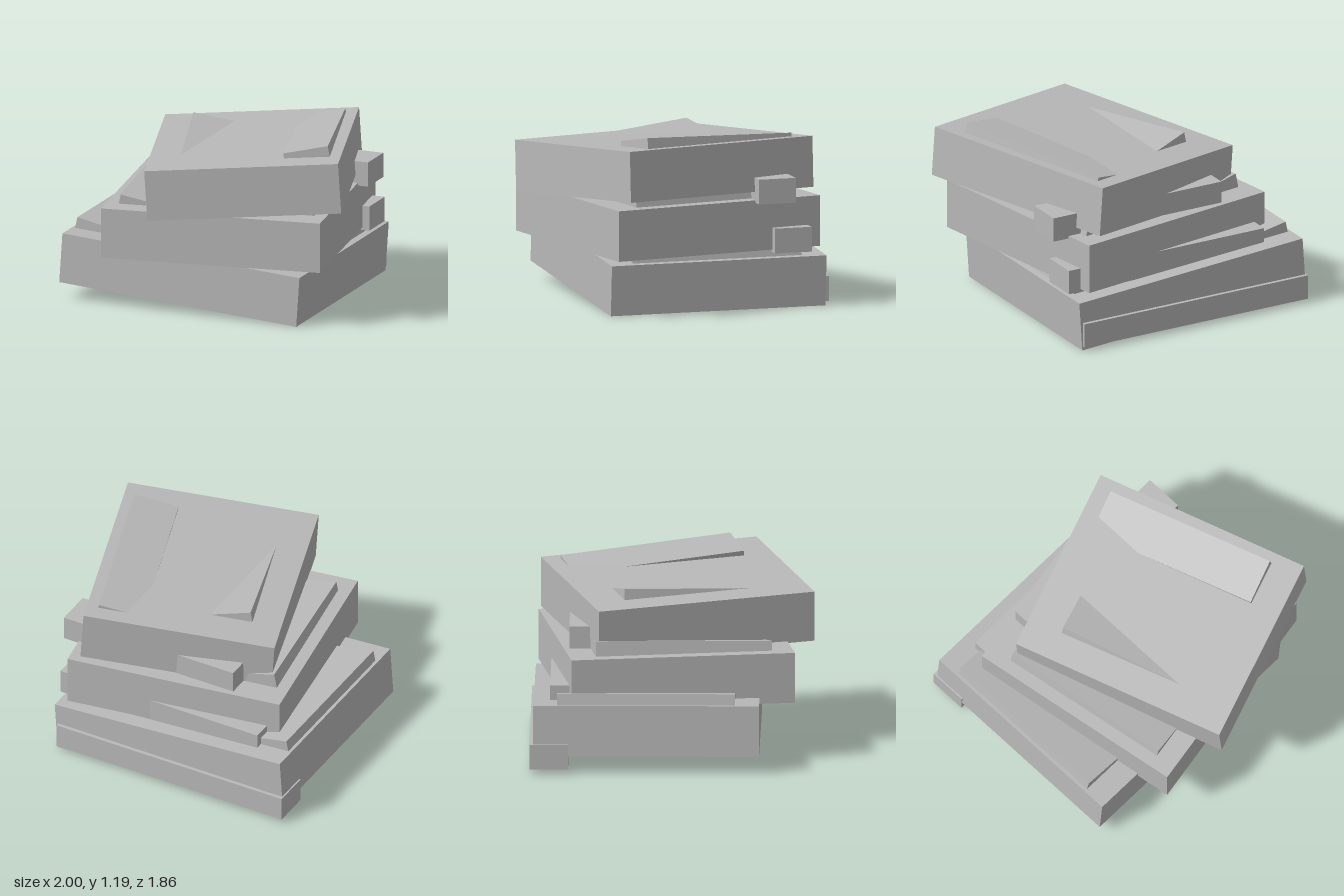
import * as THREE from 'three';

export function createModel() {
  const group = new THREE.Group();
  group.name = 'slabStack';
  const stone = new THREE.MeshStandardMaterial({ color: 0xb8b8b8 });
  stone.name = 'plain grey';

  // A box whose top face is centred on (x, y, z): turned by yaw, then tilted about the z axis
  function block(name, [w, h, d], [x, y, z], yaw = 0, tilt = 0) {
    const geometry = new THREE.BoxGeometry(w, h, d).translate(0, -h / 2, 0);
    const mesh = new THREE.Mesh(geometry, stone);
    mesh.name = name;
    mesh.position.set(x, y, z);
    mesh.rotation.set(0, yaw, tilt, 'ZYX');
    group.add(mesh);
  }

  const plate = [0.30, 0.14, 1.167];
  const plateTilt = 0.2;

  // Each layer: main slab, square bar at the back, two tilted plates sunk into the top
  const layers = [
    {
      name: 'lower', yaw: 0, tilt: -0.068, width: 1.697, top: [-0.126, 0.4, -0.168],
      bar: [-0.153, 0.2, -0.807], barWidth: 1.695,
      right: [-0.788, 0.5, -0.17], left: [0.502, 0.43, -0.17],
    },
    {
      name: 'middle', yaw: 0.157, tilt: 0, width: 1.483, top: [0.018, 0.73, -0.043],
      bar: [-0.003, 0.54, -0.674], barWidth: 1.481,
      right: [-0.467, 0.782, 0.052], left: [0.5, 0.782, -0.138],
    },
    {
      name: 'upper', yaw: 0.314, tilt: 0.068, width: 1.28, top: [0.144, 1.083, 0.027],
      bar: [0.145, 0.878, -0.55], barWidth: 1.273,
      right: [-0.103, 1.05, 0.194], left: [0.517, 1.137, -0.144],
    },
  ];

  for (const l of layers) {
    block(l.name + 'Slab', [l.width, 0.336, 1.482], l.top, l.yaw, l.tilt);
    block(l.name + 'BackBar', [l.barWidth, 0.165, 0.254], l.bar);
    block(l.name + 'RightPlate', plate, l.right, l.yaw, -plateTilt);
    block(l.name + 'LeftPlate', plate, l.left, l.yaw, plateTilt);
  }
  return group;
}
